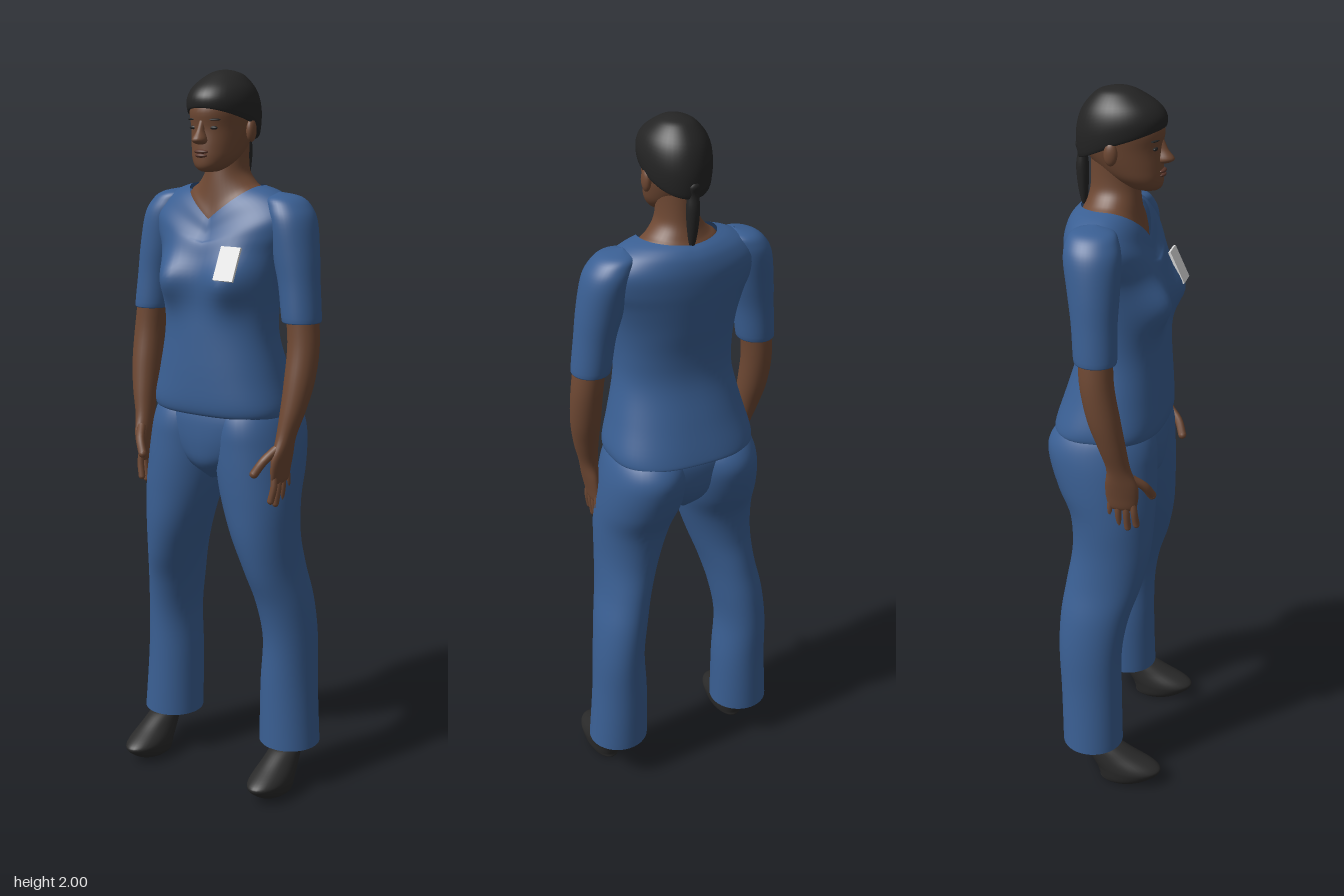
import * as THREE from 'three';

const mat = (name, color, side = THREE.FrontSide) => {
  const m = new THREE.MeshStandardMaterial({ color, side });
  m.name = name;
  return m;
};

// Catmull-Rom blend of one number
const blend = (a, b, c, d, t) =>
  0.5 * (2 * b + (c - a) * t + (2 * a - 5 * b + 4 * c - d) * t * t + (3 * b - a - 3 * c + d) * t * t * t);

// Smooth skin over rings listed bottom to top:
// [y, centre x, half width, front z, back z, squareness, lift amount]
function loft(sections, { side = 1, lift = () => 0, warp = null, seg = 40, sub = 5 } = {}) {
  const full = sections.map(s => [s[0], s[1], s[2], s[3], s[4], s[5] ?? 2, s[6] ?? 0]);
  const rings = [];
  const at = i => full[Math.min(Math.max(i, 0), full.length - 1)];
  for (let i = 0; i < full.length - 1; i++) {
    for (let k = 0; k < sub; k++) {
      rings.push(full[i].map((_, j) => blend(at(i - 1)[j], at(i)[j], at(i + 1)[j], at(i + 2)[j], k / sub)));
    }
  }
  rings.push(full[full.length - 1]);
  const pos = [], index = [];
  const power = (v, p) => Math.sign(v) * Math.pow(Math.abs(v), 2 / p);
  rings.forEach(([y, x, rx, f, b, p, d], r) => {
    for (let j = 0; j < seg; j++) {
      const t = (j / seg) * Math.PI * 2, c = Math.cos(t), s = Math.sin(t);
      const v = new THREE.Vector3(x * side + Math.max(rx, 0.0005) * power(c, p),
        y + d * lift(c, s), (f + b) / 2 + ((f - b) / 2) * power(s, p));
      if (warp) warp(v);
      pos.push(v.x, v.y, v.z);
      if (r < rings.length - 1) {
        const a = r * seg + j, n = r * seg + (j + 1) % seg;
        index.push(a, a + seg, n, n, a + seg, n + seg);
      }
    }
  });
  const g = new THREE.BufferGeometry();
  g.setAttribute('position', new THREE.Float32BufferAttribute(pos, 3));
  g.setIndex(index);
  g.computeVertexNormals();
  return g;
}

export function createModel() {
  const model = new THREE.Group();
  const cloth = mat('blue cloth', 0x3a5f93, THREE.DoubleSide);
  const skin = mat('brown skin', 0x6e4833);
  const lipTone = mat('lip brown', 0x5a362b);
  const black = mat('black hair', 0x242424);
  const leather = mat('black shoe', 0x2a2a2a);
  const white = mat('white badge', 0xdedede);

  const add = (name, geometry, material, parent = model) => {
    const m = new THREE.Mesh(geometry, material);
    m.name = name;
    parent.add(m);
    return m;
  };
  const ball = (name, material, [x, y, z], [sx, sy, sz]) => {
    const m = add(name, new THREE.SphereGeometry(1, 20, 14), material);
    m.position.set(x, y, z);
    m.scale.set(sx, sy, sz);
    return m;
  };
  const finger = (name, points, radius, parent) => {
    const curve = new THREE.CatmullRomCurve3(points.map(p => new THREE.Vector3(...p)));
    add(name, new THREE.TubeGeometry(curve, 8, radius, 10), skin, parent);
    const tip = add(name + 'Tip', new THREE.SphereGeometry(radius, 10, 8), skin, parent);
    tip.position.set(...points[points.length - 1]);
  };

  // Shirt body with a V neckline
  const vNeck = (c, s) => (s > 0 ? -(1 - Math.abs(c)) : -0.1 * (1 - Math.abs(c)));
  const bust = v => {
    if (v.z > 0) {
      v.z += 0.04 * Math.exp(-(((Math.abs(v.x) - 0.098) / 0.055) ** 2) - ((v.y - 1.455) / 0.068) ** 2);
    }
  };
  add('shirt', loft([
    [1.105, 0, 0.19, 0.118, -0.15, 2.6], [1.09, 0, 0.203, 0.132, -0.166, 2.6],
    [1.12, 0, 0.207, 0.142, -0.16, 2.5], [1.2, 0, 0.188, 0.142, -0.135, 2.3],
    [1.3, 0, 0.167, 0.137, -0.106, 2.2], [1.38, 0, 0.166, 0.133, -0.104, 2.2],
    [1.46, 0, 0.176, 0.136, -0.117, 2.1], [1.53, 0, 0.192, 0.122, -0.128, 2.1, 0.01],
    [1.58, 0, 0.212, 0.113, -0.134, 2.1, 0.03], [1.63, 0, 0.217, 0.104, -0.135, 2.1, 0.07],
    [1.668, 0, 0.188, 0.093, -0.128, 2, 0.09], [1.69, 0, 0.147, 0.086, -0.115, 2, 0.09],
    [1.702, 0, 0.107, 0.08, -0.1, 2, 0.087],
  ], { lift: vNeck, warp: bust, seg: 64 }), cloth);

  // Neck and upper chest
  add('neck', loft([
    [1.665, 0, 0.122, 0.074, -0.1, 2, 0.087], [1.692, 0, 0.104, 0.071, -0.096, 2, 0.085],
    [1.708, 0, 0.082, 0.063, -0.087, 2, 0.06], [1.735, 0, 0.06, 0.056, -0.078, 2, 0.02],
    [1.77, 0, 0.054, 0.05, -0.075], [1.83, 0, 0.055, 0.045, -0.075],
  ], { lift: vNeck }), skin);

  // Head
  add('head', loft([
    [1.738, 0, 0.001, 0.08, 0.06], [1.741, 0, 0.022, 0.1, 0.04], [1.753, 0, 0.042, 0.112, 0.01],
    [1.775, 0, 0.058, 0.115, -0.03], [1.805, 0, 0.067, 0.114, -0.065],
    [1.85, 0, 0.075, 0.111, -0.095], [1.9, 0, 0.079, 0.116, -0.103],
    [1.95, 0, 0.07, 0.088, -0.088], [1.98, 0, 0.04, 0.045, -0.05], [1.987, 0, 0.001, 0, 0],
  ]), skin);
  add('nose', loft([
    [1.81, 0, 0.001, 0.115, 0.1], [1.813, 0, 0.014, 0.13, 0.09], [1.823, 0, 0.019, 0.143, 0.09],
    [1.845, 0, 0.011, 0.127, 0.09], [1.872, 0, 0.008, 0.114, 0.09], [1.885, 0, 0.001, 0.105, 0.09],
  ], { seg: 20 }), skin);
  ball('upperLip', lipTone, [0, 1.792, 0.111], [0.022, 0.006, 0.011]);
  ball('lowerLip', lipTone, [0, 1.782, 0.111], [0.019, 0.006, 0.011]);
  for (const s of [1, -1]) {
    ball('eye', black, [s * 0.031, 1.853, 0.1], [0.013, 0.005, 0.006]);
    ball('eyebrow', black, [s * 0.033, 1.874, 0.1], [0.019, 0.003, 0.008]).rotation.y = s * 0.25;
    ball('ear', skin, [s * 0.081, 1.845, -0.003], [0.012, 0.03, 0.018]);
  }

  // Close-fitting hair, high at the brow and low at the nape
  const hairline = (c, s) => (s > 0 ? 0.72 * s : s);
  add('hair', loft([
    [1.875, 0, 0.074, 0.11, -0.095, 2, 0.05], [1.868, 0, 0.086, 0.12, -0.108, 2, 0.05],
    [1.91, 0, 0.09, 0.121, -0.113, 2, 0.028], [1.95, 0, 0.079, 0.101, -0.098, 2, 0.01],
    [1.983, 0, 0.05, 0.06, -0.062], [1.996, 0, 0.024, 0.03, -0.03], [2, 0, 0.001, 0, 0],
  ], { lift: hairline }), black);
  add('ponytail', loft([
    [1.688, 0, 0.001, -0.093, -0.097], [1.695, 0, 0.008, -0.088, -0.103],
    [1.74, 0, 0.015, -0.084, -0.112], [1.79, 0, 0.018, -0.083, -0.116],
    [1.825, 0, 0.015, -0.086, -0.112], [1.85, 0, 0.017, -0.085, -0.117], [1.868, 0, 0.001, -0.09, -0.1],
  ], { seg: 20 }), black);

  // Badge resting on the chest
  const badge = add('badge', new THREE.BoxGeometry(0.062, 0.094, 0.007), white);
  badge.position.set(0.1, 1.508, 0.137);
  badge.rotation.x = -0.44;

  // Trouser seat
  add('trouserSeat', loft([
    [0.9, 0, 0.02, 0.07, -0.06], [0.945, 0, 0.1, 0.117, -0.11], [1, 0, 0.185, 0.13, -0.14],
    [1.07, 0, 0.208, 0.13, -0.15, 2.3], [1.12, 0, 0.19, 0.12, -0.14, 2.3],
  ]), cloth);

  for (const side of [1, -1]) {
    const label = side > 0 ? 'left' : 'right';

    // Sleeve, with its hem turned in
    add(label + 'Sleeve', loft([
      [1.375, 0.245, 0.042, 0.046, -0.045], [1.355, 0.246, 0.052, 0.056, -0.056],
      [1.45, 0.234, 0.055, 0.054, -0.065], [1.53, 0.219, 0.062, 0.056, -0.078],
      [1.61, 0.203, 0.064, 0.056, -0.092], [1.65, 0.188, 0.059, 0.046, -0.09],
      [1.675, 0.172, 0.044, 0.028, -0.075], [1.687, 0.16, 0.001, -0.02, -0.03],
    ], { side }), cloth);

    // Arm and palm
    add(label + 'Arm', loft([
      [0.918, 0.222, 0.001, 0.07, 0.05], [0.925, 0.223, 0.012, 0.1, 0.025],
      [0.96, 0.226, 0.017, 0.11, 0.02], [1.0, 0.231, 0.021, 0.109, 0.02],
      [1.05, 0.238, 0.025, 0.091, 0.025], [1.12, 0.249, 0.034, 0.08, 0.005],
      [1.2, 0.256, 0.041, 0.067, -0.021], [1.3, 0.256, 0.043, 0.05, -0.04],
      [1.41, 0.243, 0.043, 0.045, -0.046],
    ], { side, seg: 28 }), skin);

    // Fingers and thumb
    const hand = new THREE.Group();
    hand.name = label + 'Fingers';
    model.add(hand);
    [[0.032, 0.03, 0.883], [0.053, 0.055, 0.864], [0.074, 0.079, 0.864], [0.094, 0.103, 0.876]]
      .forEach(([z0, z1, tip]) => finger('finger',
        [[side * 0.224, 0.95, z0], [side * 0.226, 0.915, (z0 + z1) / 2], [side * 0.219, tip, z1]], 0.0095, hand));
    finger('thumb', [[side * 0.228, 1.02, 0.09], [side * 0.208, 0.99, 0.122], [side * 0.188, 0.955, 0.138]], 0.012, hand);

    // Trouser leg, open at the hem
    add(label + 'TrouserLeg', loft([
      [0.125, 0.207, 0.087, 0.06, -0.115], [0.3, 0.201, 0.08, 0.056, -0.12],
      [0.44, 0.202, 0.073, 0.057, -0.125], [0.55, 0.189, 0.075, 0.075, -0.122],
      [0.65, 0.168, 0.078, 0.106, -0.109], [0.75, 0.147, 0.092, 0.125, -0.096],
      [0.85, 0.13, 0.109, 0.131, -0.105], [0.93, 0.118, 0.118, 0.133, -0.142],
      [1.0, 0.11, 0.119, 0.132, -0.166], [1.05, 0.105, 0.115, 0.13, -0.172],
      [1.09, 0.1, 0.108, 0.12, -0.154], [1.125, 0.1, 0.09, 0.1, -0.115],
    ], { side }), cloth);

    // Ankle and shoe
    add(label + 'Ankle', loft([
      [0.08, 0.217, 0.028, 0.03, -0.03], [0.14, 0.213, 0.03, 0.025, -0.05],
      [0.25, 0.207, 0.036, 0.025, -0.07], [0.42, 0.2, 0.045, 0.03, -0.09],
    ], { side, seg: 24 }), skin);
    add(label + 'Shoe', loft([
      [0, 0.217, 0.001, 0.06, 0.05], [0.001, 0.217, 0.032, 0.11, 0.002],
      [0.015, 0.217, 0.046, 0.145, -0.003], [0.042, 0.217, 0.053, 0.178, -0.012],
      [0.06, 0.217, 0.053, 0.17, -0.022], [0.09, 0.217, 0.046, 0.112, -0.04],
      [0.122, 0.216, 0.038, 0.052, -0.055], [0.118, 0.216, 0.03, 0.035, -0.045],
    ], { side, seg: 32 }), leather);
  }
  return model;
}
